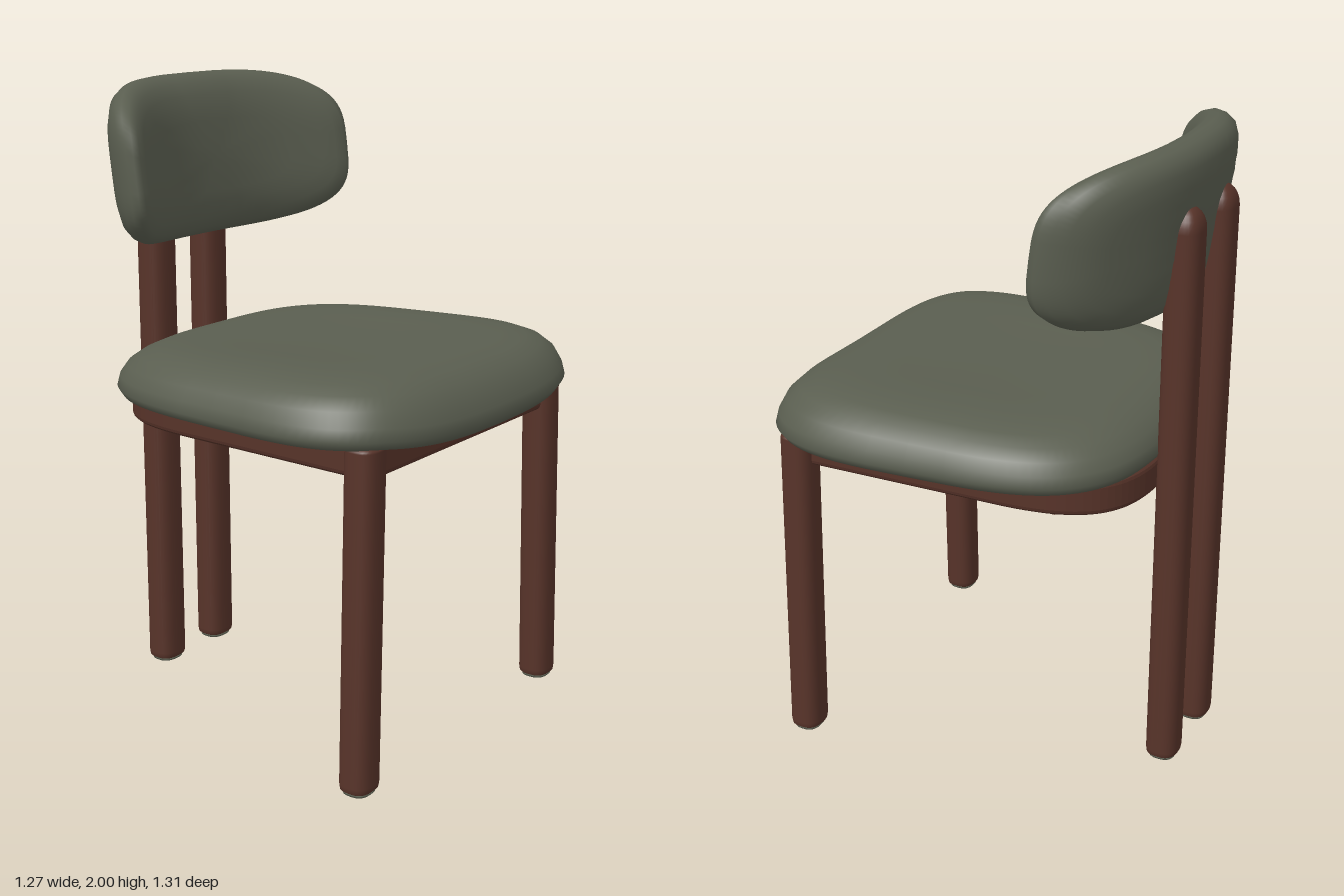
import * as THREE from 'three';
import { mergeVertices } from 'three/addons/utils/BufferGeometryUtils.js';

const fabric = new THREE.MeshStandardMaterial({ color: 0x5a5e50 });
fabric.name = 'olive fabric';
const wood = new THREE.MeshStandardMaterial({ color: 0x573329 });
wood.name = 'dark wood';

// Closed loft through stacked superellipse rings: { x, z, a, b, y }, bottom to top
function loft(rings, power, segments, warp) {
  const pos = [], index = [];
  const curve = (v) => Math.sign(v) * Math.pow(Math.abs(v), 2 / power);
  rings.forEach((r) => {
    for (let i = 0; i < segments; i++) {
      const t = (i / segments) * Math.PI * 2;
      const p = new THREE.Vector3((r.x || 0) + r.a * curve(Math.cos(t)), r.y, (r.z || 0) + r.b * curve(Math.sin(t)));
      if (warp) warp(p);
      pos.push(p.x, p.y, p.z);
    }
  });
  for (let k = 0; k < rings.length - 1; k++) {
    for (let i = 0; i < segments; i++) {
      const j = (i + 1) % segments;
      const a = k * segments + i, b = a + segments;
      const c = k * segments + j, d = c + segments;
      index.push(a, b, c, c, b, d);
    }
  }
  let geo = new THREE.BufferGeometry();
  geo.setAttribute('position', new THREE.Float32BufferAttribute(pos, 3));
  geo.setIndex(index);
  geo = mergeVertices(geo, 1e-5);
  geo.computeVertexNormals();
  return geo;
}

// Cushion rings from an edge profile of [inset, height], closed towards the middle
function cushionRings(a, b, profile, bottomY, topY) {
  const edge = profile.map(([inset, y]) => ({ a: a - inset, b: b - inset, y }));
  const inner = (ring, y) => [0.75, 0.5, 0.25, 0].map((s) => ({
    a: ring.a * s, b: ring.b * s, y: y + (ring.y - y) * s * s,
  }));
  return [...inner(edge[0], bottomY).reverse(), ...edge, ...inner(edge[edge.length - 1], topY)];
}

function add(group, name, geometry, material) {
  const mesh = new THREE.Mesh(geometry, material);
  mesh.name = name;
  group.add(mesh);
  return mesh;
}

// Wooden leg with softened ends and a thin pad underneath
function addLeg(group, name, bottom, top, height, a, b, dome) {
  const at = (y, s) => {
    const t = y / height;
    return { x: bottom[0] + (top[0] - bottom[0]) * t, z: bottom[1] + (top[1] - bottom[1]) * t, a: a * s, b: b * s, y };
  };
  const rings = [at(0.01, 0), at(0.01, 0.88), at(0.014, 0.96), at(0.03, 1), at(height - dome, 1)];
  for (let i = 1; i <= 6; i++) {
    const t = (i / 6) * Math.PI / 2;
    rings.push(at(height - dome + dome * Math.sin(t), Math.cos(t)));
  }
  add(group, name, loft(rings, 2.7, 28), wood);
  add(group, name + 'Pad', loft([at(0, 0), at(0, 0.8), at(0.009, 0.86), at(0.011, 0)], 2.7, 28), fabric);
}

export function createModel() {
  const chair = new THREE.Group();
  chair.name = 'chair';

  // Seat cushion: wider at the front, with a dipped front edge
  const seatProfile = [
    [0.12, 1.045], [0.05, 1.043], [0.015, 1.05], [0, 1.075], [0.008, 1.11],
    [0.03, 1.15], [0.065, 1.18], [0.11, 1.2], [0.17, 1.21], [0.25, 1.213],
  ];
  add(chair, 'seat', loft(cushionRings(0.626, 0.608, seatProfile, 1.045, 1.203), 3.5, 96, (p) => {
    const zn = p.z / 0.608;
    p.x *= 1 + 0.07 * zn;
    p.z += 0.046;
    const front = THREE.MathUtils.smoothstep(p.z, 0.35, 0.65);
    p.y -= 0.025 * front * Math.max(0, 1 - (p.x / 0.5) ** 2);
    if (p.y > 1.1) p.y += 0.014 * zn * Math.min(1, (p.y - 1.1) / 0.08);
  }), fabric);

  // Backrest: rounded pad curved around the sitter and leaning back
  const padProfile = [
    [0.11, -0.08], [0.06, -0.074], [0.025, -0.058], [0.006, -0.03], [0, 0],
    [0.008, 0.03], [0.03, 0.055], [0.065, 0.072], [0.11, 0.082],
  ];
  add(chair, 'backrest', loft(cushionRings(0.536, 0.258, padProfile, -0.083, 0.088), 3.6, 96, (p) => {
    const up = -p.z, depth = p.y;
    p.y = 1.742 + up;
    p.z = -0.53 + 0.95 * Math.pow(Math.abs(p.x), 2.5) + depth - 0.13 * up;
  }), fabric);

  // Seat frame: one bevelled ring, rounded towards the back
  const outline = (Type, d) => {
    const s = new Type();
    const x = 0.51 - d, zf = 0.53 - d, xb = 0.47 - d, zb = -0.555 + d;
    s.moveTo(-x, zf);
    s.lineTo(-xb - 0.015, -0.2);
    s.bezierCurveTo(-xb, -0.45, -0.38 + d, zb, -0.15, zb);
    s.lineTo(0.15, zb);
    s.bezierCurveTo(0.38 - d, zb, xb, -0.45, xb + 0.015, -0.2);
    s.lineTo(x, zf);
    s.closePath();
    return s;
  };
  const ring = outline(THREE.Shape, 0.018);
  ring.holes.push(outline(THREE.Path, 0.062));
  const frameGeo = new THREE.ExtrudeGeometry(ring, {
    depth: 0.07, bevelSize: 0.018, bevelThickness: 0.018, bevelSegments: 3, curveSegments: 20,
  });
  frameGeo.rotateX(Math.PI / 2);
  add(chair, 'seatFrame', frameGeo, wood).position.y = 1.038;

  // Cross rail under the seat
  add(chair, 'crossRail', new THREE.BoxGeometry(0.86, 0.1, 0.075), wood).position.set(0, 0.988, -0.31);

  // Splayed front legs and tall back posts, mirrored
  for (const [side, label] of [[1, 'left'], [-1, 'right']]) {
    addLeg(chair, label + 'FrontLeg', [side * 0.519, 0.505], [side * 0.49, 0.5], 1.06, 0.058, 0.052, 0.02);
    addLeg(chair, label + 'BackPost', [side * 0.128, -0.598], [side * 0.128, -0.6], 1.83, 0.06, 0.052, 0.07);
  }
  return chair;
}
